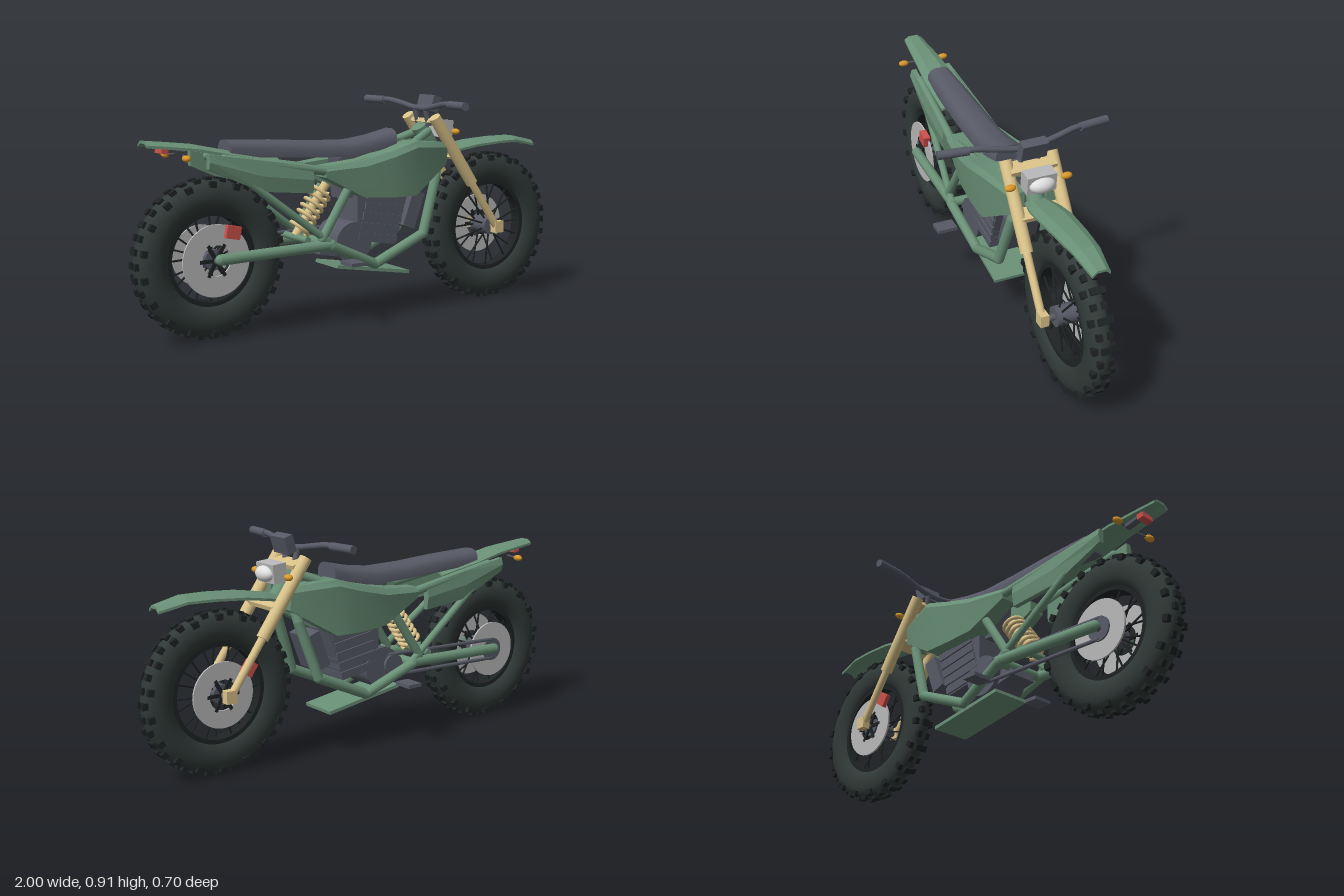
import * as THREE from 'three';
import { toCreasedNormals } from 'three/addons/utils/BufferGeometryUtils.js';

const mat = (name, color) => Object.assign(new THREE.MeshStandardMaterial({ color }), { name });
const V = (a) => new THREE.Vector3(...a);
const SIDES = [1, -1];

export function createModel() {
  const green = mat('green paint', 0x6a9077), dark = mat('dark grey', 0x575a66), tan = mat('gold', 0xdac289);
  const rubber = mat('rubber', 0x313a38), black = mat('black', 0x1f2324), steel = mat('steel', 0xb8b8ba);
  const red = mat('red', 0xcc504b), amber = mat('amber', 0xd9982a), white = mat('lamp white', 0xe0e0e0);
  const model = new THREE.Group();

  function add(name, geo, m, pos = [0, 0, 0], rotZ = 0, parent = model) {
    const mesh = new THREE.Mesh(geo, m);
    mesh.name = name;
    mesh.position.set(...pos);
    mesh.rotation.z = rotZ;
    parent.add(mesh);
    return mesh;
  }
  const box = (name, size, pos, m, rotZ = 0, parent = model) =>
    add(name, new THREE.BoxGeometry(...size), m, pos, rotZ, parent);
  // straight bar between two points
  function rod(name, a, b, r, m, seg = 12, parent = model) {
    const p = V(a), q = V(b), d = q.clone().sub(p);
    const mesh = add(name, new THREE.CylinderGeometry(r, r, d.length(), seg), m, p.clone().add(q).multiplyScalar(0.5).toArray(), 0, parent);
    mesh.quaternion.setFromUnitVectors(new THREE.Vector3(0, 1, 0), d.normalize());
    return mesh;
  }
  // bent pipe with rounded joints
  function pipe(name, pts, r, m) {
    pts.forEach((p, i) => {
      add(name + 'Joint', new THREE.SphereGeometry(r, 12, 8), m, p);
      if (i) rod(name, pts[i - 1], p, r, m);
    });
  }
  const flipZ = (p, s) => [p[0], p[1], p[2] * s];
  // solid through cross-sections [x, [[y, z], ...]], ends closed with strips
  function loft(sections, crease = 0) {
    const n = sections[0][1].length, pos = [], idx = [];
    sections.forEach(([x, ring]) => ring.forEach(([y, z]) => pos.push(x, y, z)));
    for (let i = 0; i < sections.length - 1; i++)
      for (let j = 0; j < n; j++) {
        const a = i * n + j, d = i * n + (j + 1) % n, b = a + n, c = d + n;
        idx.push(a, d, c, a, c, b);
      }
    const e = (sections.length - 1) * n;
    for (let j = 0; j < Math.floor((n - 1) / 2); j++) {
      const k = n - 1 - j;
      idx.push(e + j, e + j + 1, e + k, 0 + j, k, j + 1);
      if (k - 1 > j + 1) idx.push(e + j + 1, e + k - 1, e + k, j + 1, k, k - 1);
    }
    const g = new THREE.BufferGeometry();
    g.setAttribute('position', new THREE.Float32BufferAttribute(pos, 3));
    g.setIndex(idx);
    return toCreasedNormals(g, crease);
  }
  const mirrorRing = (ring, s) => (s > 0 ? ring : ring.map(([y, z]) => [y, -z]).reverse());
  // flat brake ring lying in the x-y plane
  function ringPlate(outer, inner, depth) {
    const s = new THREE.Shape().absarc(0, 0, outer, 0, Math.PI * 2);
    s.holes.push(new THREE.Path().absarc(0, 0, inner, 0, Math.PI * 2, true));
    const g = new THREE.ExtrudeGeometry(s, { depth, bevelEnabled: false, curveSegments: 32 });
    return g.translate(0, 0, -depth / 2);
  }

  // wheels: tyre, knobs, rim, spokes, hub, brake disc
  function wheel(name, x, R, inner, halfW, discZ, discR) {
    const g = new THREE.Group();
    g.name = name;
    g.position.set(x, R, 0);
    model.add(g);
    const top = R - 0.01, mid = (top + inner) / 2, h = (top - inner) / 2, prof = [];
    for (let i = 0; i <= 24; i++) {
      const a = -i / 24 * Math.PI * 2, c = Math.cos(a), s = Math.sin(a);
      prof.push(new THREE.Vector2(mid - c * h, Math.sign(s) * Math.abs(s) ** 0.8 * (halfW - 0.003)));
    }
    add('tyre', new THREE.LatheGeometry(prof, 64).rotateX(Math.PI / 2), rubber, [0, 0, 0], 0, g);
    const N = 36;
    for (let i = 0; i < N; i++) {
      const a = i / N * Math.PI * 2, c = Math.cos(a), s = Math.sin(a);
      const knob = (r, z, w) => box('knob', [0.024, 0.026, w], [c * r, s * r, z], black, a, g);
      if (i % 2) {
        knob(R - 0.013, 0, 0.034);
        SIDES.forEach((k) => knob(R - 0.026, k * (halfW - 0.011), 0.02));
      } else SIDES.forEach((k) => knob(R - 0.014, k * 0.02, 0.02));
    }
    add('rim', ringPlate(inner + 0.012, inner - 0.008, halfW * 1.1), black, [0, 0, 0], 0, g);
    for (let i = 0; i < 20; i++) {
      const a = i / 20 * Math.PI * 2, k = i % 2 ? 1 : -1;
      rod('spoke', [Math.cos(a) * 0.03, Math.sin(a) * 0.03, k * 0.03],
        [Math.cos(a) * inner, Math.sin(a) * inner, k * 0.008], 0.004, black, 6, g);
    }
    rod('hub', [0, 0, -0.05], [0, 0, 0.05], 0.04, dark, 24, g);
    rod('axle', [0, 0, -0.1], [0, 0, 0.1], 0.013, dark, 12, g);
    add('brakeDisc', ringPlate(discR, 0.06, 0.008), steel, [0, 0, discZ], 0, g);
    for (let i = 0; i < 3; i++) box('discCarrier', [0.14, 0.014, 0.01], [0, 0, discZ], black, i * Math.PI / 3, g);
    return g;
  }
  wheel('frontWheel', 0.675, 0.325, 0.19, 0.048, -0.052, 0.13);
  const rear = wheel('rearWheel', -0.685, 0.315, 0.175, 0.058, 0.066, 0.14);
  add('sprocket', ringPlate(0.12, 0.05, 0.008), steel, [0, 0, -0.07], 0, rear);
  rod('pulley', [0, 0, -0.08], [0, 0, -0.06], 0.05, dark, 24, rear);
  box('frontCaliper', [0.05, 0.055, 0.02], [0.568, 0.418, -0.068], red, 0.6);
  box('rearCaliper', [0.06, 0.05, 0.03], [-0.62, 0.42, 0.075], red, -0.2);

  // fork, clamps
  const forkAt = (t, z) => [0.32 + 0.35 * t, 0.82 - 0.5 * t, z];
  for (const s of SIDES) {
    const z = s * 0.095;
    rod('forkUpper', forkAt(0, z), forkAt(0.58, z), 0.025, tan, 20);
    rod('forkLower', forkAt(0.58, z), forkAt(1, z), 0.016, tan, 16);
    box('axleBlock', [0.045, 0.05, 0.034], [0.67, 0.327, z], tan);
    rod('riser', [0.335, 0.78, s * 0.036], [0.315, 0.86, s * 0.036], 0.012, dark);
    const orange = new THREE.SphereGeometry(1, 16, 10).scale(0.015, 0.013, 0.023);
    add('frontIndicator', orange, amber, [0.415, 0.757, s * 0.116]);
    add('rearIndicator', orange, amber, [-0.813, 0.713, s * 0.094]);
    rod('indicatorStalk', [-0.8, 0.72, s * 0.04], [-0.813, 0.713, s * 0.08], 0.004, dark, 6);
    rod('handGrip', [0.293, 0.878, s * 0.23], [0.28, 0.878, s * 0.35], 0.017, dark, 16);
  }
  box('upperClamp', [0.06, 0.018, 0.19], [0.35, 0.795, 0], tan, -0.3);
  box('lowerClamp', [0.06, 0.018, 0.19], [0.445, 0.645, 0], tan, -0.3);
  rod('steeringHead', [0.31, 0.78, 0], [0.42, 0.62, 0], 0.035, green, 16);

  // handlebar, display, lamp
  const bar = [[0.285, 0.878, -0.3], [0.297, 0.88, -0.2], [0.31, 0.868, -0.12], [0.315, 0.855, -0.04],
    [0.315, 0.855, 0.04], [0.31, 0.868, 0.12], [0.297, 0.88, 0.2], [0.285, 0.878, 0.3]];
  add('handlebar', new THREE.TubeGeometry(new THREE.CatmullRomCurve3(bar.map(V)), 48, 0.012, 10), dark);
  box('display', [0.04, 0.07, 0.104], [0.36, 0.87, 0], dark, -0.3);
  box('lampHousing', [0.06, 0.075, 0.12], [0.415, 0.765, 0], steel, -0.1);
  add('headlight', new THREE.SphereGeometry(1, 24, 16).scale(0.032, 0.032, 0.052), white, [0.445, 0.76, 0]);

  // thin arched mudguards: [x, y, half width]
  const guard = (rows, drop, t) => loft(rows.map(([x, y, w]) => [x, [[y - drop, -w], [y, -w / 2], [y, w / 2], [y - drop, w],
    [y - drop - t, w], [y - t, w / 2], [y - t, -w / 2], [y - drop - t, -w]]]));
  add('frontMudguard', guard([[0.39, 0.675, 0.045], [0.48, 0.692, 0.062], [0.57, 0.706, 0.066], [0.7, 0.714, 0.06],
    [0.81, 0.715, 0.052], [0.925, 0.69, 0.036]], 0.016, 0.01), green);
  add('rearMudguard', guard([[-0.945, 0.778, 0.04], [-0.85, 0.768, 0.05], [-0.74, 0.755, 0.06], [-0.6, 0.725, 0.07],
    [-0.4, 0.69, 0.07]], 0.014, 0.01), green);
  box('tailLight', [0.028, 0.022, 0.06], [-0.868, 0.738, 0], red, -0.15);
  box('lightBracket', [0.1, 0.012, 0.03], [-0.83, 0.745, 0], dark, -0.2);

  // seat: [x, bottom, top, half width]
  add('seat', loft([[-0.61, 0.705, 0.765, 0.054], [-0.4, 0.69, 0.755, 0.062], [-0.22, 0.68, 0.742, 0.065],
    [-0.06, 0.675, 0.738, 0.065], [0.05, 0.69, 0.752, 0.064], [0.155, 0.71, 0.776, 0.06]].map(([x, b, t, w]) =>
    [x, [[t, -w * 0.4], [t, w * 0.4], [t - 0.01, w * 0.78], [t - 0.03, w], [b, w], [b, -w], [t - 0.03, -w], [t - 0.01, -w * 0.78]]]), 0.75), dark);

  for (const s of SIDES) {
    // tank side: [x, top y, top z, widest y, widest z, bottom y, bottom z]
    add('tankSide', loft([[-0.225, 0.65, 0.105, 0.63, 0.12, 0.605, 0.115], [-0.05, 0.665, 0.125, 0.64, 0.14, 0.515, 0.13],
      [0.08, 0.695, 0.135, 0.67, 0.15, 0.505, 0.138], [0.2, 0.73, 0.14, 0.705, 0.154, 0.505, 0.138],
      [0.39, 0.71, 0.085, 0.69, 0.098, 0.62, 0.09]].map(([x, ty, tz, my, mz, by, bz]) =>
      [x, mirrorRing([[ty, 0.045], [ty, tz], [my, mz], [by, bz], [by, 0.045]], s)]), 0.5), green);
    // rear side panel
    add('rearPanel', loft([[-0.72, 0.722, 0.665, 0.098], [-0.5, 0.688, 0.568, 0.108], [-0.28, 0.652, 0.547, 0.118]].map(([x, t, b, z]) =>
      [x, mirrorRing([[t, z - 0.03], [t, z - 0.008], [(t + b) / 2, z], [b, z - 0.008], [b, z - 0.03]], s)])), green);
    // frame tubes and swingarm
    const tube = (name, pts, r) => pipe(name, pts.map((p) => flipZ(p, s)), r, green);
    tube('downTube', [[0.36, 0.69, 0.04], [0.345, 0.57, 0.075], [0.265, 0.335, 0.095], [0.025, 0.23, 0.09], [-0.2, 0.33, 0.115]], 0.021);
    tube('topRail', [[0.33, 0.755, 0.035], [0.17, 0.69, 0.095], [-0.22, 0.63, 0.1], [-0.65, 0.7, 0.075]], 0.018);
    tube('rearStrut', [[-0.2, 0.34, 0.112], [-0.55, 0.605, 0.085]], 0.015);
    tube('seatStrut', [[-0.24, 0.36, 0.108], [-0.1, 0.57, 0.1]], 0.018);
    tube('swingarm', [[-0.2, 0.335, 0.112], [-0.68, 0.322, 0.095]], 0.022);
    box('footPeg', [0.065, 0.015, 0.086], [-0.135, 0.263, s * 0.17], dark);
    // drive belt runs
    rod('beltRun', [-0.1, 0.33 + s * 0.045, -0.083], [-0.685, 0.317 + s * 0.042, -0.075], 0.008, dark, 6);
  }
  rod('swingarmPivot', [-0.2, 0.333, -0.115], [-0.2, 0.333, 0.115], 0.02, green);
  box('skidPlate', [0.36, 0.014, 0.17], [0.025, 0.206, 0], green, -0.165);

  // power unit
  const block = new THREE.Shape([[-0.05, 0.53], [0.2, 0.51], [0.13, 0.3], [-0.05, 0.33]].map((p) => new THREE.Vector2(...p)).reverse());
  add('battery', new THREE.ExtrudeGeometry(block, { depth: 0.15, bevelEnabled: false }), dark, [0, 0, -0.075]);
  for (let i = 0; i < 5; i++) box('batteryFin', [0.19, 0.03, 0.164], [0.047 + i * 0.011, 0.335 + i * 0.041, 0], dark, -0.16);
  box('batteryTop', [0.36, 0.17, 0.088], [0.07, 0.605, 0], dark, 0.1);
  rod('motor', [-0.07, 0.325, -0.08], [-0.07, 0.325, 0.08], 0.085, dark, 32);
  rod('drivePulley', [-0.12, 0.33, -0.092], [-0.12, 0.33, -0.07], 0.045, dark, 20);
  box('motorMount', [0.14, 0.05, 0.12], [-0.15, 0.3, 0], dark, -0.2);
  box('controller', [0.06, 0.155, 0.13], [0.24, 0.435, 0], dark, -0.36);

  // coil shock
  const a = V([-0.3, 0.365, 0]), b = V([-0.155, 0.565, 0]), axis = b.clone().sub(a);
  const side = V([axis.y, -axis.x, 0]).normalize(), coil = [];
  for (let i = 0; i <= 84; i++) {
    const t = i / 12 * Math.PI * 2;
    coil.push(a.clone().addScaledVector(axis, 0.1 + 0.8 * i / 84).addScaledVector(side, Math.cos(t) * 0.042)
      .add(V([0, 0, Math.sin(t) * 0.042])));
  }
  add('shockSpring', new THREE.TubeGeometry(new THREE.CatmullRomCurve3(coil), 168, 0.008, 8), tan);
  rod('shockBody', a.toArray(), b.toArray(), 0.018, tan);
  rod('shockMount', [-0.3, 0.36, -0.1], [-0.3, 0.36, 0.1], 0.014, green);
  return model;
}
